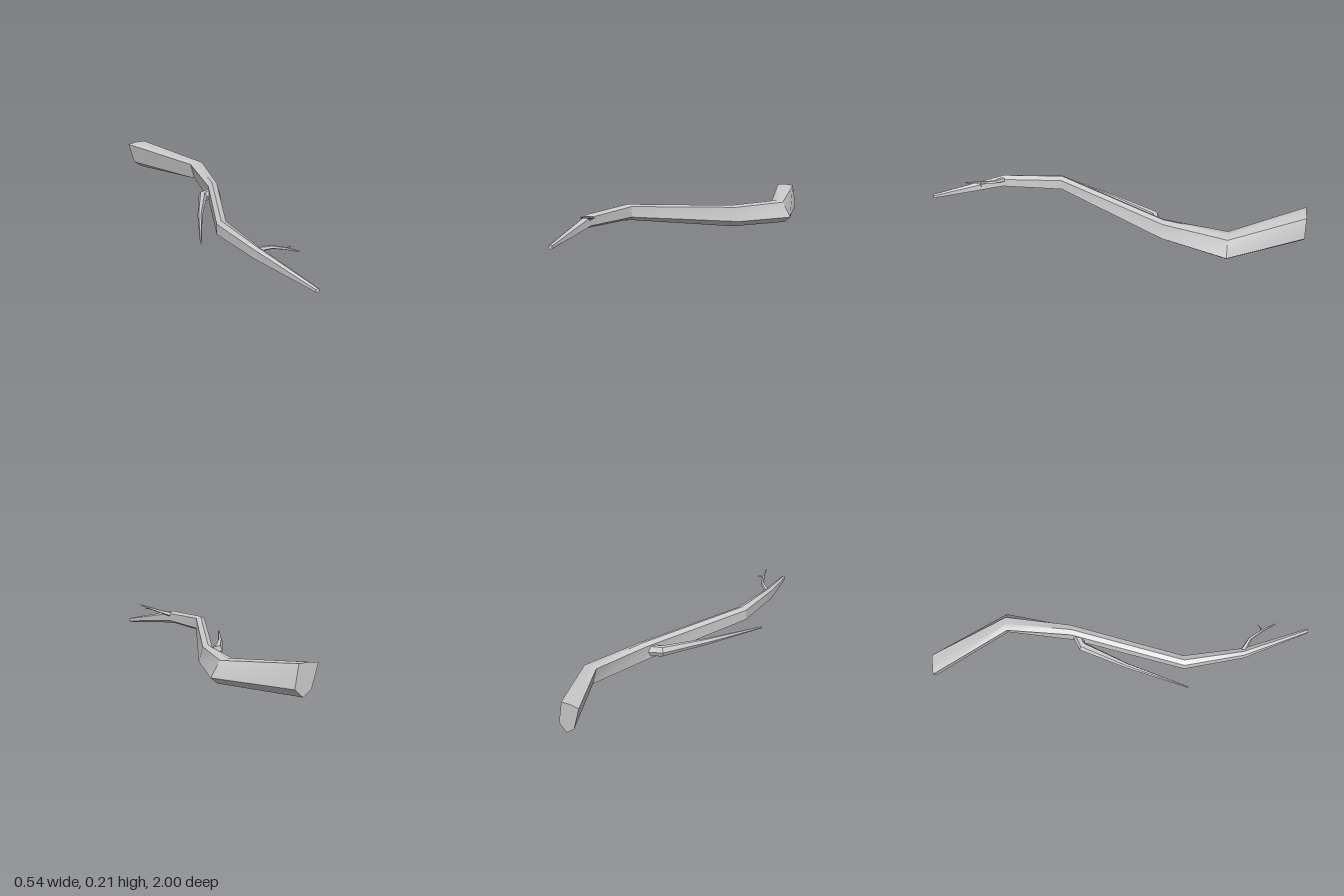
import * as THREE from 'three';
import { toCreasedNormals } from 'three/addons/utils/BufferGeometryUtils.js';

const material = new THREE.MeshStandardMaterial({ color: 0xcccccc });

// Skin a list of rings (each a loop of Vector3) and cap both ends
function loft(name, rings) {
  const n = rings[0].length, last = (rings.length - 1) * n, index = [];
  for (let i = 0; i < rings.length - 1; i++) {
    for (let j = 0; j < n; j++) {
      const a = i * n + j, b = i * n + (j + 1) % n;
      index.push(a, a + n, b + n, a, b + n, b);
    }
  }
  for (let j = 1; j < n - 1; j++) {
    index.push(0, j, j + 1, last, last + j + 1, last + j);
  }
  const geometry = new THREE.BufferGeometry().setFromPoints(rings.flat());
  geometry.setIndex(index);
  const mesh = new THREE.Mesh(toCreasedNormals(geometry, 0.45), material);
  mesh.name = name;
  return mesh;
}

// Tapered limb along stations of [x, y, z, radius across, radius upright]
function limb(name, stations, sides) {
  const points = stations.map(([x, y, z]) => new THREE.Vector3(x, y, z));
  const rings = stations.map(([, , , rx, ry = rx], i) => {
    const before = points[Math.max(i - 1, 0)], after = points[Math.min(i + 1, points.length - 1)];
    const dir = after.clone().sub(before).normalize();
    const right = new THREE.Vector3(0, 1, 0).cross(dir).normalize();
    const up = dir.clone().cross(right);
    return Array.from({ length: sides }, (_, j) => {
      const t = (j + 0.5) / sides * Math.PI * 2;
      return points[i].clone().addScaledVector(right, Math.sin(t) * rx).addScaledVector(up, Math.cos(t) * ry);
    });
  });
  return loft(name, rings);
}

export function createModel() {
  const group = new THREE.Group();
  group.name = 'branch';

  // Main stem: six-sided sections, each [z, then x, y pairs clockwise from top left]
  const sections = [
    [-1, [-0.07, 0.155], [-0.02, 0.161], [0.035, 0.158], [0.055, 0.04], [0.01, 0], [-0.035, 0.035]],
    [-0.6, [0.145, 0.122], [0.18, 0.13], [0.22, 0.122], [0.27, 0.042], [0.235, 0.012], [0.17, 0.03]],
    [-0.26, [0.08, 0.122], [0.105, 0.137], [0.135, 0.128], [0.157, 0.052], [0.12, 0.022], [0.082, 0.045]],
    [0.31, [-0.175, 0.176], [-0.15, 0.19], [-0.122, 0.18], [-0.12, 0.125], [-0.15, 0.108], [-0.175, 0.12]],
    [0.63, [-0.152, 0.17], [-0.135, 0.181], [-0.112, 0.168], [-0.108, 0.127], [-0.135, 0.113], [-0.152, 0.122]],
    [1, [-0.035, 0.095], [-0.025, 0.1], [-0.015, 0.095], [-0.015, 0.081], [-0.025, 0.075], [-0.035, 0.081]],
  ];
  group.add(loft('mainStem', sections.map(([z, ...loop]) => loop.map(([x, y]) => new THREE.Vector3(x, y, z)))));

  // Long side branch that bends forward
  group.add(limb('sideBranch', [
    [0.11, 0.085, -0.235, 0.028, 0.034],
    [0.02, 0.092, -0.21, 0.024, 0.029],
    [-0.115, 0.093, 0.015, 0.013, 0.018],
    [-0.27, 0.095, 0.32, 0.004, 0.005],
  ], 6));

  // Small forked twig near the tip
  group.add(limb('twig', [
    [-0.125, 0.16, 0.625, 0.014],
    [-0.068, 0.178, 0.67, 0.009],
    [-0.036, 0.191, 0.735, 0.007],
    [-0.009, 0.203, 0.812, 0.003],
  ], 5));
  group.add(limb('twigFork', [
    [-0.038, 0.189, 0.732, 0.005],
    [-0.018, 0.191, 0.733, 0.004],
    [0, 0.19, 0.722, 0.002],
  ], 5));

  return group;
}
